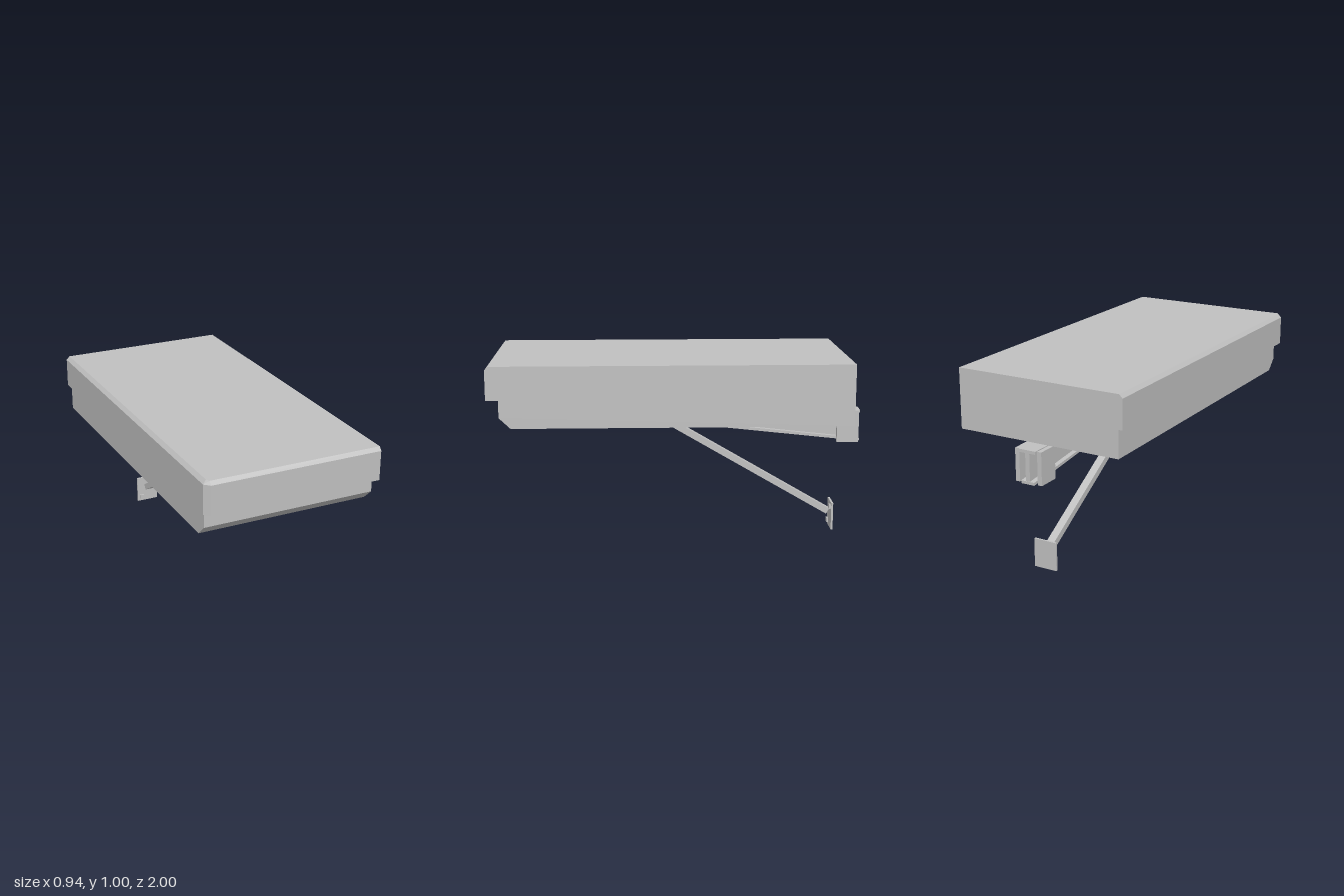
import * as THREE from 'three';

const grey = new THREE.MeshStandardMaterial({ color: 0xc0c0c0 });
grey.name = 'concrete grey';

function part(name, geometry) {
  const mesh = new THREE.Mesh(geometry, grey);
  mesh.name = name;
  return mesh;
}

// Box given by its minimum and maximum corners
function box(name, [x0, y0, z0], [x1, y1, z1]) {
  const g = new THREE.BoxGeometry(x1 - x0, y1 - y0, z1 - z0);
  g.translate((x0 + x1) / 2, (y0 + y1) / 2, (z0 + z1) / 2);
  return part(name, g);
}

// Side profile of [z, y] points, extruded across x
function profile(name, points, x0, x1) {
  const shape = new THREE.Shape(points.map(([z, y]) => new THREE.Vector2(z, y)));
  const g = new THREE.ExtrudeGeometry(shape, { depth: x1 - x0, bevelEnabled: false });
  g.rotateY(-Math.PI / 2).translate(x1, 0, 0);
  return part(name, g);
}

// Solid lofted through convex plan outlines, each { y, pts: [x, z] }
function loft(name, rings) {
  const n = rings[0].pts.length;
  const positions = rings.flatMap(({ y, pts }) => pts.flatMap(([x, z]) => [x, y, z]));
  const index = [];
  for (let r = 0; r < rings.length - 1; r++) {
    for (let i = 0; i < n; i++) {
      const a = r * n + i, b = r * n + (i + 1) % n;
      index.push(a, b, b + n, a, b + n, a + n);
    }
  }
  const top = (rings.length - 1) * n;
  for (let i = 1; i < n - 1; i++) {
    index.push(0, i + 1, i, top, top + i, top + i + 1);
  }
  const g = new THREE.BufferGeometry();
  g.setAttribute('position', new THREE.Float32BufferAttribute(positions, 3));
  g.setIndex(index);
  const flat = g.toNonIndexed();
  flat.computeVertexNormals();
  return part(name, flat);
}

// Plan of the slab's lip, inset along its two finished edges
const lipPlan = (side, front) => [
  [-0.473 + side, 0.972 - front * 0.4], [-0.445, 1 - front],
  [0.47, 1 - front], [0.47, -0.895], [-0.473 + side, -0.895],
];

export function createModel() {
  const model = new THREE.Group();
  model.name = 'bracketedSlab';

  // Slab: overhanging lip above a recessed body with a bevelled front
  const slab = new THREE.Group();
  slab.name = 'slab';
  slab.add(
    loft('slabLip', [
      { y: 0.83, pts: lipPlan(0, 0) },
      { y: 0.986, pts: lipPlan(0, 0) },
      { y: 1.005, pts: lipPlan(0.018, 0.015) },
    ]),
    profile('slabBody', [
      [-0.895, 0.683], [0.875, 0.683], [0.935, 0.74], [0.935, 0.83], [-0.895, 0.83],
    ], -0.45, 0.47),
  );

  // Tapered I-beam under the slab
  const beam = new THREE.Group();
  beam.name = 'beam';
  beam.add(
    box('topFlange', [-0.048, 0.666, -1], [0.048, 0.682, 0.082]),
    profile('web', [[-0.998, 0.512], [0.068, 0.63], [0.068, 0.67], [-0.998, 0.67]], -0.012, 0.012),
    profile('bottomFlange', [[-1, 0.505], [0.07, 0.622], [0.07, 0.637], [-1, 0.52]], -0.038, 0.038),
  );
  for (const z of [-0.41, -0.63]) {
    const bolt = new THREE.CylinderGeometry(0.011, 0.011, 0.04, 8);
    bolt.rotateZ(Math.PI / 2).translate(0, 0.645, z);
    beam.add(part('webBolt', bolt));
  }

  // Cheek plates on both sides of the beam's rear end
  for (const s of [-1, 1]) {
    const x = s * 0.064;
    beam.add(box('cheekPlate', [x - 0.012, 0.507, -0.99], [x + 0.012, 0.68, -0.87]));
  }

  // Diagonal strut
  const top = new THREE.Vector2(0.04, 0.61), foot = new THREE.Vector2(-0.84, 0.095);
  const along = top.clone().sub(foot);
  const strutGeometry = new THREE.BoxGeometry(0.044, 0.034, along.length());
  strutGeometry.rotateX(-Math.atan2(along.y, along.x));
  strutGeometry.translate(0, (top.y + foot.y) / 2, (top.x + foot.x) / 2);

  // Wall plate with two square bolt heads
  const wallPlate = new THREE.Group();
  wallPlate.name = 'wallPlate';
  wallPlate.add(box('plate', [-0.065, 0, -0.864], [0.065, 0.154, -0.853]));
  for (const [x, y] of [[0.038, 0.129], [-0.039, 0.028]]) {
    wallPlate.add(box('plateBolt', [x - 0.013, y - 0.012, -0.855], [x + 0.013, y + 0.012, -0.843]));
  }

  model.add(slab, beam, part('strut', strutGeometry), wallPlate);
  return model;
}
